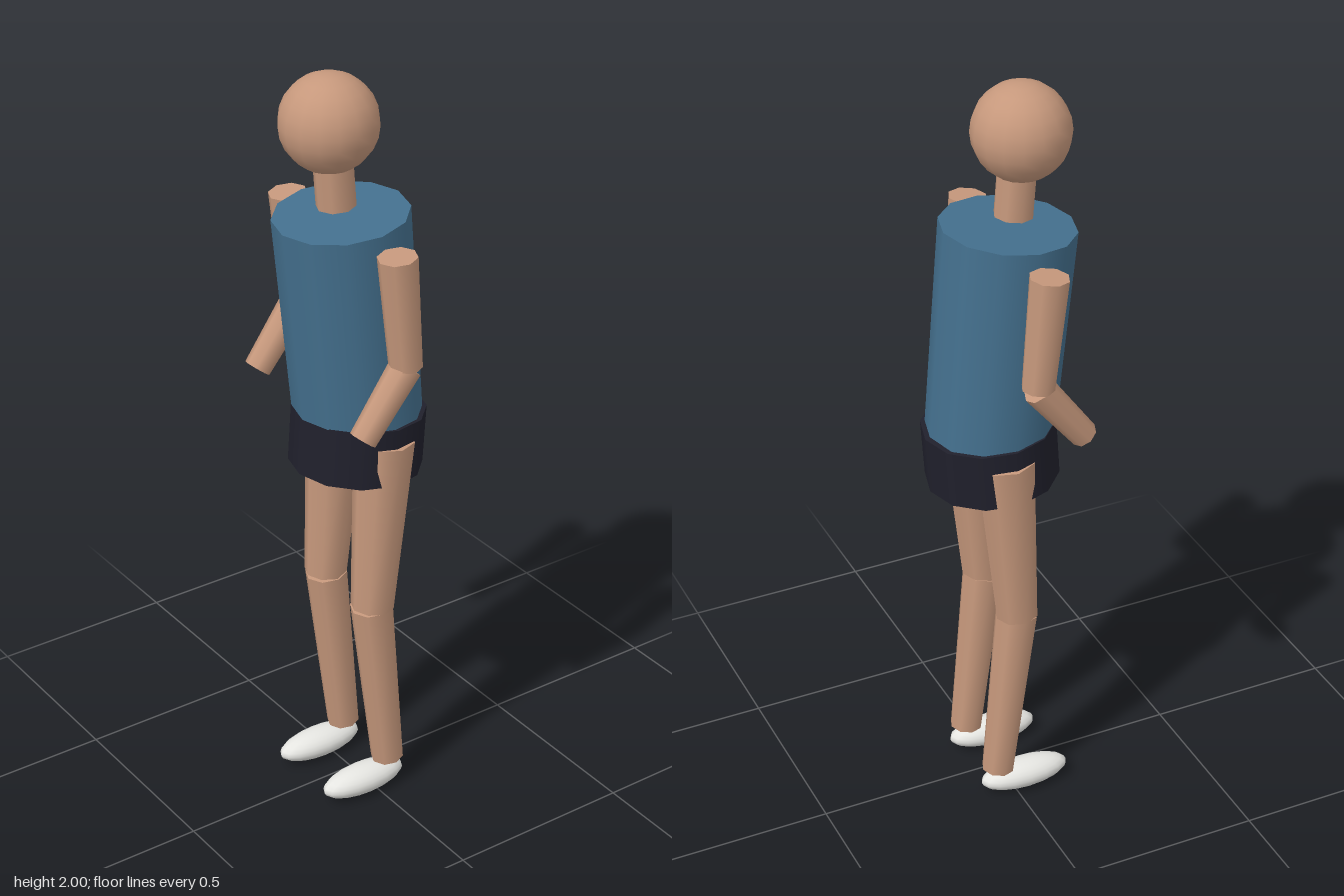
import * as THREE from 'three';

const mat = (name, color) => {
  const m = new THREE.MeshStandardMaterial({ color });
  m.name = name;
  return m;
};

export function createModel() {
  const model = new THREE.Group();
  model.name = 'figure';
  const skin = mat('skin', 0xc6987c);
  const shirt = mat('shirtBlue', 0x44708e);
  const cloth = mat('shortsNavy', 0x20202c);
  const white = mat('shoeWhite', 0xe6e6e2);

  // Tapered cylinder between two points in a plane of constant x; points are [y, z]
  const limb = (name, x, top, bottom, rTop, rBottom, sides, material) => {
    const a = new THREE.Vector3(x, ...top);
    const b = new THREE.Vector3(x, ...bottom);
    const mesh = new THREE.Mesh(
      new THREE.CylinderGeometry(rTop, rBottom, a.distanceTo(b), sides), material);
    mesh.name = name;
    mesh.position.copy(a).add(b).multiplyScalar(0.5);
    mesh.rotation.x = Math.atan2(a.z - b.z, a.y - b.y);
    model.add(mesh);
  };
  const ball = (name, position, scale, material) => {
    const mesh = new THREE.Mesh(new THREE.SphereGeometry(1, 16, 12), material);
    mesh.name = name;
    mesh.position.set(...position);
    mesh.scale.set(...scale);
    model.add(mesh);
  };

  // Head, neck, leaning torso and shorts
  ball('head', [0, 1.877, 0.063], [0.123, 0.123, 0.123], skin);
  limb('neck', 0, [1.79, 0.053], [1.66, 0.043], 0.05, 0.05, 8, skin);
  limb('torso', 0, [1.636, 0.029], [1.078, -0.021], 0.17, 0.163, 12, shirt);
  limb('shorts', 0, [1.1, -0.025], [0.945, -0.014], 0.171, 0.171, 12, cloth);

  // Arms, legs and shoes on both sides
  for (const [side, s] of [['left', 1], ['right', -1]]) {
    limb(side + 'UpperArm', s * 0.23, [1.607, 0.028], [1.31, 0.001], 0.05, 0.042, 8, skin);
    limb(side + 'Forearm', s * 0.23, [1.31, 0.001], [1.148, 0.127], 0.041, 0.035, 8, skin);
    limb(side + 'Thigh', s * 0.105, [1.048, -0.027], [0.57, 0.007], 0.078, 0.056, 8, skin);
    limb(side + 'Shin', s * 0.102, [0.57, 0.007], [0.078, -0.046], 0.056, 0.043, 8, skin);
    ball(side + 'Shoe', [s * 0.102, 0.038, 0.032], [0.049, 0.038, 0.124], white);
  }
  return model;
}
